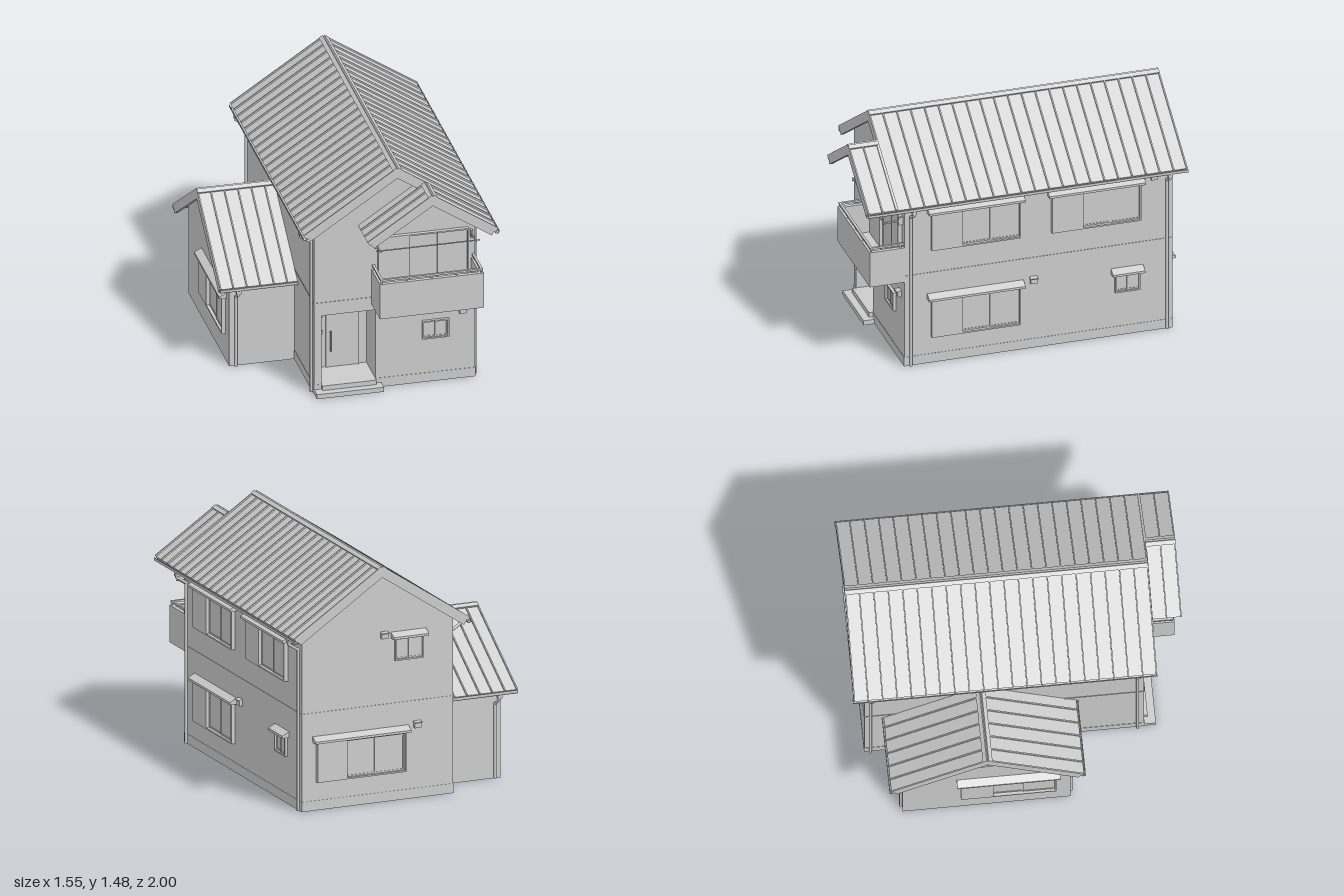
import * as THREE from 'three';

const mat = new THREE.MeshStandardMaterial({ color: 0xcccccc, side: THREE.DoubleSide });
const SLOPE = 0.667, TH = Math.atan(SLOPE), COS = Math.cos(TH), SIN = Math.sin(TH);

function add(parent, geo, name, x = 0, y = 0, z = 0) {
  const m = new THREE.Mesh(geo, mat);
  m.name = name;
  m.position.set(x, y, z);
  parent.add(m);
  return m;
}

// Box given by its extents
function box(parent, name, x0, x1, y0, y1, z0, z1) {
  return add(parent, new THREE.BoxGeometry(x1 - x0, y1 - y0, z1 - z0), name, (x0 + x1) / 2, (y0 + y1) / 2, (z0 + z1) / 2);
}

function group(parent, name, x = 0, y = 0, z = 0, ry = 0) {
  const g = new THREE.Group();
  g.name = name;
  g.position.set(x, y, z);
  g.rotation.y = ry;
  parent.add(g);
  return g;
}

function polygon(pts) {
  return new THREE.Shape(pts.map(p => new THREE.Vector2(...p)));
}

function extrude(shape, depth) {
  return new THREE.ExtrudeGeometry(shape, { depth, bevelEnabled: false, curveSegments: 8 });
}

// Round bar between two points
function pipe(parent, name, a, b, r) {
  const A = new THREE.Vector3(...a), B = new THREE.Vector3(...b), d = B.clone().sub(A);
  const m = add(parent, new THREE.CylinderGeometry(r, r, d.length(), 10), name);
  m.position.copy(A).addScaledVector(d, 0.5);
  m.quaternion.setFromUnitVectors(new THREE.Vector3(0, 1, 0), d.normalize());
}

// Pentagonal gable outline around x = 0, tucked under a roof with its ridge at y = ridge
function gableShape(half, ridge) {
  const top = ridge - 0.022, e = top - half * SLOPE;
  return polygon([[-half, 0], [half, 0], [half, e], [0, top], [-half, e]]);
}

// Board lying on one slope: s = distance down the slope, n = height off its surface
function board(parent, name, side, ridge, s0, s1, n0, n1, z0, z1) {
  const s = (s0 + s1) / 2, n = (n0 + n1) / 2;
  const m = add(parent, new THREE.BoxGeometry(s1 - s0, n1 - n0, z1 - z0), name,
    side * (s * COS + n * SIN), ridge - s * SIN + n * COS, (z0 + z1) / 2);
  m.rotation.z = -side * TH;
}

// Seamed gable roof along z with ridge cap and bargeboards at the chosen ends
function roof(parent, ridge, w, z0, z1, seams, ends) {
  const L = w / COS;
  for (const side of [-1, 1]) {
    board(parent, 'roofSlope', side, ridge, 0, L, -0.02, 0, z0, z1);
    for (let i = 0; i <= seams; i++) {
      const z = Math.min(Math.max(z0 + (z1 - z0) * i / seams, z0 + 0.004), z1 - 0.004);
      board(parent, 'roofSeam', side, ridge, 0, L, 0, 0.009, z - 0.004, z + 0.004);
    }
    for (const z of ends) {
      const zi = z === z1 ? z - 0.02 : z;
      board(parent, 'bargeboard', side, ridge, 0, L - 0.01, -0.05, -0.02, zi, zi + 0.02);
    }
    board(parent, 'ridgeCap', side, ridge, 0, 0.027, 0, 0.012, z0, z1);
  }
}

// Half-round gutter along z
function gutter(parent, x, y, z0, z1) {
  const s = new THREE.Shape();
  s.absarc(0, 0, 0.014, Math.PI, 2 * Math.PI, false);
  s.lineTo(0.014, 0.009);
  s.lineTo(0.010, 0.009);
  s.absarc(0, 0, 0.010, 0, Math.PI, true);
  s.lineTo(-0.010, 0.009);
  s.lineTo(-0.014, 0.009);
  add(parent, extrude(s, z1 - z0), 'gutter', x, y, z0);
}

// Downpipe: outlet, sloping offset to the wall, straight drop
function downpipe(parent, side, xGutter, xWall, y, z) {
  const p = [[side * xGutter, y, z], [side * xGutter, y - 0.03, z], [side * xWall, y - 0.07, z], [side * xWall, 0, z]];
  for (let i = 0; i < 3; i++) pipe(parent, 'downpipe', p[i], p[i + 1], 0.009);
  for (const q of [p[1], p[2]]) add(parent, new THREE.SphereGeometry(0.0105, 10, 8), 'pipeElbow', ...q);
  box(parent, 'gutterOutlet', side * xGutter - 0.013, side * xGutter + 0.013, y - 0.022, y, z - 0.014, z + 0.014);
}

// Canopy with a sloping top; local z points out of the wall
function canopy(parent, name, w, y, depth, back, front) {
  const m = add(parent, extrude(polygon([[0, 0], [depth, 0], [depth, front], [0, back]]), w), name, w / 2, y, 0);
  m.rotation.y = -Math.PI / 2;
}

// Sliding window with an optional shutter box on its left and an optional canopy
function windowUnit(parent, name, x, y, z, ry, w, h, boxW, hood) {
  const g = group(parent, name, x, y, z, ry), f = 0.009, d = boxW ? 0.025 : 0.018;
  const l = -w / 2 + boxW, r = w / 2, mid = (l + r) / 2;
  if (boxW) box(g, 'shutterBox', -w / 2, l, 0, h, -0.005, 0.025);
  box(g, 'frameBottom', l, r, 0, f, -0.005, d);
  box(g, 'frameTop', l, r, h - f, h, -0.005, d);
  box(g, 'frameLeft', l, l + f, f, h - f, -0.005, d);
  box(g, 'frameRight', r - f, r, f, h - f, -0.005, d);
  [[l + f, mid + f / 2, 0.006], [mid - f / 2, r - f, 0.010]].forEach(([a, b, p]) => {
    box(g, 'glass', a, b, f, h - f, -0.005, p - 0.003);
    box(g, 'stileLeft', a, a + f, f, h - f, 0, p);
    box(g, 'stileRight', b - f, b, f, h - f, 0, p);
    box(g, 'sashRailTop', a, b, h - 2 * f, h - f, 0, p);
    box(g, 'sashRailBottom', a, b, f, 2 * f, 0, p);
  });
  if (hood) canopy(g, 'windowCanopy', w + 0.045, h, 0.045, 0.037, 0.014);
}

function vent(parent, x, y, z, ry, s = 0.042) {
  const g = group(parent, 'vent', x, y, z, ry);
  box(g, 'ventBody', -s / 2, s / 2, 0, s * 0.75, -0.002, 0.02);
  canopy(g, 'ventCap', s + 0.006, s * 0.75, 0.03, s * 0.25, s * 0.15);
}

export function createModel() {
  const house = new THREE.Group();
  house.name = 'house';
  const R = Math.PI / 2, CX = 0.193, HALF = 0.493, RY = 1.468;

  // Main block: rear body plus a front slice pierced by the entrance recess
  const main = group(house, 'mainBlock', CX);
  add(main, extrude(gableShape(HALF, RY), 1.45), 'mainBody', 0, 0, -0.92);
  const front = gableShape(HALF, RY);
  front.holes.push(new THREE.Path([[-0.255, 0.06], [-0.255, 0.515], [0.075, 0.515], [0.075, 0.06]]
    .map(([x, y]) => new THREE.Vector2(x - CX, y))));
  add(main, extrude(front, 0.22), 'frontWall', 0, 0, 0.53);
  box(main, 'foundation', -HALF - 0.002, HALF + 0.002, 0, 0.06, -0.922, 0.752);
  box(main, 'beltCourse', -HALF - 0.003, HALF + 0.003, 0.597, 0.603, -0.923, 0.753);

  // Main roof and its drainage
  roof(main, RY, 0.57, -0.99, 0.82, 21, [-0.99, 0.82]);
  gutter(main, -0.565, 1.074, -0.995, 0.82);
  gutter(main, 0.565, 1.074, -0.995, 1.0);
  for (const side of [-1, 1]) for (const z of [0.71, -0.885]) downpipe(main, side, 0.562, HALF + 0.008, 1.064, z);

  // Lower gable roof over the balcony, sharing the right-hand slope
  const porch = group(house, 'balconyRoof', 0.365), PR = RY - (0.365 - CX) * SLOPE;
  roof(porch, PR, 0.396, 0.82, 1.0, 2, [1.0]);
  board(porch, 'roofReturn', -1, PR, 0, 0.396 / COS, -0.02, 0, 0.74, 0.82);

  // Side wing with its gable facing -x
  const wing = group(house, 'sideWing', 0, 0, -0.23, R);
  add(wing, extrude(gableShape(0.5, 0.937), 0.42), 'wingBody', 0, 0, -0.70);
  roof(wing, 0.937, 0.575, -0.775, -0.28, 6, [-0.775]);
  for (const side of [-1, 1]) {
    gutter(wing, side * 0.572, 0.543, -0.775, -0.30);
    downpipe(wing, side, 0.568, 0.508, 0.533, -0.66);
  }

  // Entrance
  const entry = group(house, 'entrance');
  box(entry, 'lowerStep', -0.30, 0.11, 0, 0.03, 0.74, 0.82);
  box(entry, 'upperStep', -0.255, 0.075, 0.03, 0.06, 0.74, 0.775);
  box(entry, 'door', -0.167, 0.017, 0.06, 0.432, 0.525, 0.537);
  box(entry, 'doorFrameLeft', -0.175, -0.165, 0.06, 0.44, 0.525, 0.543);
  box(entry, 'doorFrameRight', 0.015, 0.025, 0.06, 0.44, 0.525, 0.543);
  box(entry, 'doorFrameTop', -0.175, 0.025, 0.43, 0.44, 0.525, 0.543);
  pipe(entry, 'doorHandle', [-0.15, 0.17, 0.555], [-0.15, 0.305, 0.555], 0.004);
  for (const y of [0.185, 0.29]) pipe(entry, 'handleMount', [-0.15, y, 0.535], [-0.15, y, 0.555], 0.003);
  box(entry, 'porchLight', -0.237, -0.2, 0.395, 0.433, 0.525, 0.55);
  box(entry, 'intercom', -0.215, -0.195, 0.28, 0.305, 0.525, 0.538);

  // Balcony with parapet, handrail and drying pole
  const bal = group(house, 'balcony');
  box(bal, 'balconyFloor', 0.05, 0.686, 0.56, 0.60, 0.745, 0.965);
  box(bal, 'parapetFront', 0.05, 0.686, 0.56, 0.79, 0.94, 0.965);
  box(bal, 'parapetLeft', 0.661, 0.686, 0.56, 0.79, 0.745, 0.945);
  box(bal, 'parapetRight', 0.05, 0.075, 0.56, 0.79, 0.745, 0.945);
  box(bal, 'handrailFront', 0.055, 0.681, 0.806, 0.818, 0.945, 0.96);
  for (const x of [0.0625, 0.6735]) {
    box(bal, 'handrailSide', x - 0.0075, x + 0.0075, 0.806, 0.818, 0.75, 0.96);
    box(bal, 'railPost', x - 0.004, x + 0.004, 0.785, 0.81, 0.765, 0.773);
  }
  for (let i = 0; i < 5; i++) {
    const x = 0.0625 + i * 0.15275;
    box(bal, 'railPost', x - 0.004, x + 0.004, 0.785, 0.81, 0.948, 0.956);
  }
  pipe(bal, 'dryingPole', [0.05, 0.965, 0.87], [0.686, 0.965, 0.87], 0.004);
  for (const x of [0.075, 0.66]) {
    box(bal, 'poleBracketPlate', x - 0.006, x + 0.006, 0.935, 0.985, 0.745, 0.78);
    box(bal, 'poleBracketArm', x - 0.004, x + 0.004, 0.957, 0.966, 0.76, 0.88);
  }
  windowUnit(house, 'balconyWindow', 0.365, 0.6, 0.75, 0, 0.555, 0.4, 0.185, false);

  // Windows: name, x, y, z, turn, width, height, shutter box, canopy
  [
    ['frontWindow', 0.442, 0.29, 0.75, 0, 0.165, 0.12, 0, false],
    ['upperFrontSideWindow', 0.686, 0.755, 0.307, R, 0.555, 0.245, 0.185, true],
    ['upperRearSideWindow', 0.686, 0.755, -0.442, R, 0.555, 0.245, 0.185, true],
    ['lowerSideWindow', 0.686, 0.175, 0.307, R, 0.555, 0.25, 0.185, true],
    ['smallSideWindow', 0.686, 0.29, -0.638, R, 0.155, 0.122, 0, true],
    ['lowerBackWindow', 0.303, 0.175, -0.92, 2 * R, 0.58, 0.245, 0.185, true],
    ['upperBackWindow', -0.01, 0.865, -0.92, 2 * R, 0.185, 0.14, 0, true],
    ['wingWindow', -0.70, 0.175, -0.10, -R, 0.57, 0.245, 0.185, true],
  ].forEach(a => windowUnit(house, ...a));

  // Wall vents
  [
    [0.608, 0.435, 0.75, 0], [0.686, 0.435, -0.053, R], [0.686, 1.01, -0.805, R],
    [-0.065, 0.435, -0.92, 2 * R], [0.15, 1.01, -0.92, 2 * R], [-0.70, 0.69, -0.23, -R, 0.075],
  ].forEach(a => vent(house, ...a));

  return house;
}
